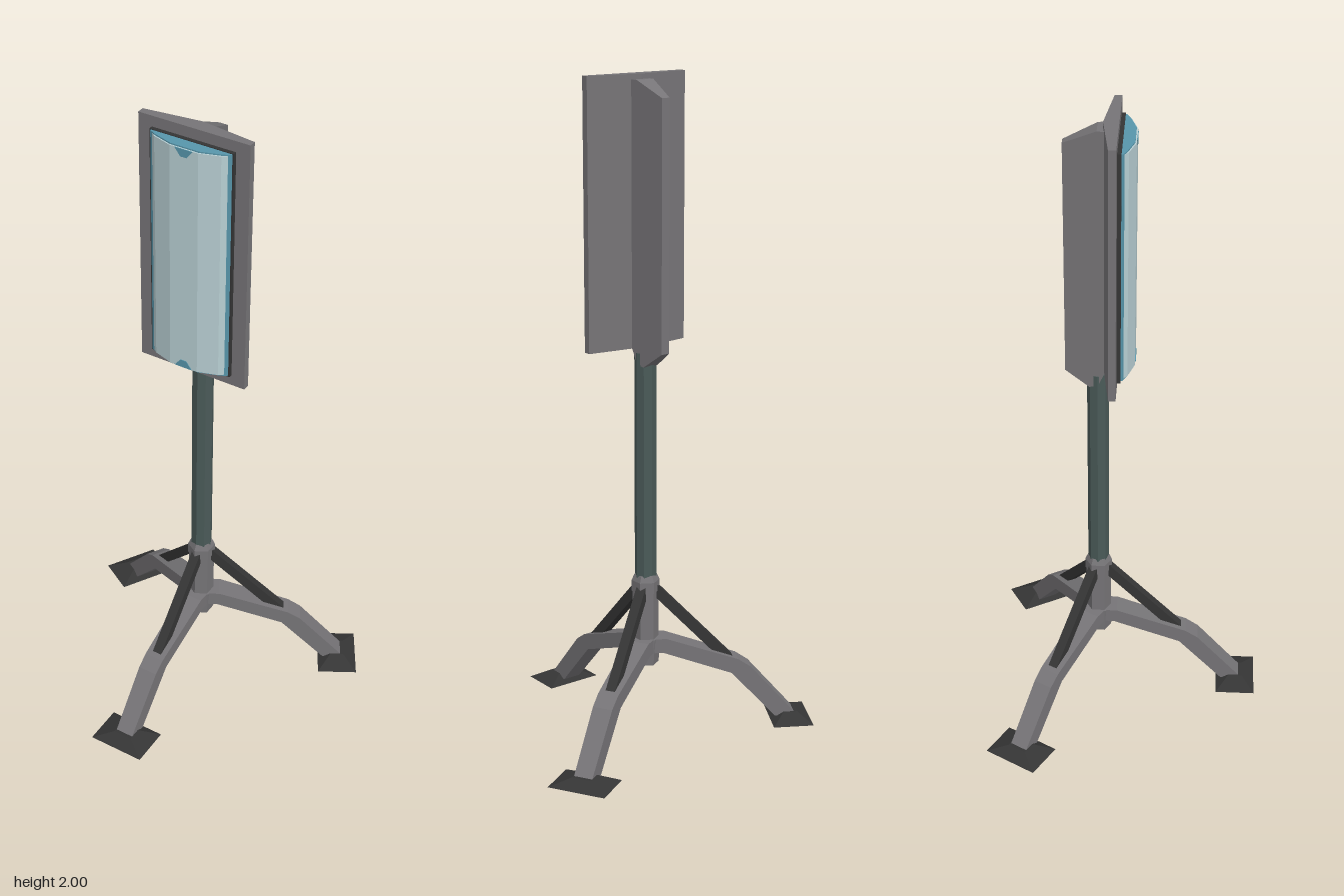
import * as THREE from 'three';

const mat = (name, color) => {
  const m = new THREE.MeshStandardMaterial({ color, flatShading: true });
  m.name = name;
  return m;
};

export function createModel() {
  const grey = mat('greyMetal', 0x767477);
  const dark = mat('darkMetal', 0x353535);
  const green = mat('poleGreen', 0x4a5a58);
  const pale = mat('paleGlass', 0xb9d0d4);
  const teal = mat('tealGlass', 0x5796ab);

  const add = (parent, name, geo, material) => {
    const m = new THREE.Mesh(geo, material);
    m.name = name;
    parent.add(m);
    return m;
  };
  const shape = (pts) => new THREE.Shape(pts.map(([a, b]) => new THREE.Vector2(a, b)));
  // Plan outline (x, z) raised from y0 to y1
  const prism = (pts, y0, y1) =>
    new THREE.ExtrudeGeometry(shape(pts), { depth: y1 - y0, bevelEnabled: false })
      .rotateX(Math.PI / 2).translate(0, y1, 0);
  // Side outline (z, y) given a width in x that depends on z
  const profile = (pts, widthAt) => {
    const g = new THREE.ExtrudeGeometry(shape(pts), { depth: 1, bevelEnabled: false })
      .rotateY(-Math.PI / 2).translate(0.5, 0, 0);
    const p = g.attributes.position;
    for (let i = 0; i < p.count; i++) p.setX(i, p.getX(i) * widthAt(p.getZ(i)));
    g.computeVertexNormals();
    return g;
  };
  const column = (rTop, rBottom, y0, y1, sides) =>
    new THREE.CylinderGeometry(rTop, rBottom, y1 - y0, sides).translate(0, (y0 + y1) / 2, 0);

  const model = new THREE.Group();
  model.name = 'tripodLight';
  const stand = new THREE.Group();
  stand.name = 'stand';
  stand.position.set(0.042, 0, -0.045);
  stand.rotation.y = Math.PI / 12;
  model.add(stand);

  // Centre column
  add(stand, 'pole', column(0.033, 0.033, 0.47, 1.19, 8), green);
  add(stand, 'collarTop', column(0.034, 0.043, 0.475, 0.495, 6), grey);
  add(stand, 'collar', column(0.043, 0.043, 0.44, 0.475, 6), grey);
  add(stand, 'hubColumn', column(0.04, 0.04, 0.25, 0.44, 6), grey);
  add(stand, 'hubBase', column(0.047, 0.04, 0.205, 0.29, 6), grey);

  // Three legs, each with a brace and a foot
  const legOutline = [
    [0.01, 0.245], [0.05, 0.245], [0.265, 0.165], [0.405, 0.012], [0.475, 0.012],
    [0.325, 0.183], [0.285, 0.21], [0.06, 0.29], [0.01, 0.29],
  ];
  for (let i = 0; i < 3; i++) {
    const leg = new THREE.Group();
    leg.name = 'leg' + (i + 1);
    leg.rotation.y = (i * Math.PI * 2) / 3;
    stand.add(leg);
    add(leg, 'legArm', profile(legOutline, (z) => 0.072 - 0.03 * z), grey);
    add(leg, 'brace', profile(
      [[0.02, 0.43], [0.245, 0.195], [0.275, 0.21], [0.035, 0.46], [0.02, 0.46]], () => 0.03), dark);
    const foot = new THREE.CylinderGeometry(0.35 * Math.SQRT1_2, Math.SQRT1_2, 0.024, 4)
      .rotateY(Math.PI / 4).scale(0.18, 1, 0.125);
    add(leg, 'foot', foot, dark).position.set(0, 0.012, 0.453);
  }

  // Lamp head: backing panel, rear spine, tray and faceted lens
  const head = new THREE.Group();
  head.name = 'lampHead';
  stand.add(head);
  add(head, 'backPanel', prism(
    [[-0.175, 0.061], [0.175, 0.061], [0.175, 0.039], [0, 0.016], [-0.175, 0.039]], 1.2, 2), grey);
  add(head, 'spine', profile(
    [[0.035, 1.205], [0.02, 1.2], [0, 1.155], [-0.025, 1.15], [-0.097, 1.2],
      [-0.097, 1.94], [0, 1.985], [0.035, 1.985]],
    (z) => 0.027 + (z + 0.097) * 0.34), grey);
  add(head, 'lensTray', prism(
    [[-0.132, 0.055], [0.132, 0.055], [0.132, 0.073], [-0.132, 0.073]], 1.235, 1.967), dark);
  const lens = (grow) => {
    const half = [[0.128 - 2 * grow, 0.07], [0.127 - 2 * grow, 0.077 + grow],
      [0.105, 0.088 + grow], [0.045, 0.107 + grow]];
    return [...half, ...half.map(([x, z]) => [-x, z]).reverse()];
  };
  add(head, 'lensBody', prism(lens(0), 1.24, 1.965), teal);
  add(head, 'lensGlass', prism(lens(0.004), 1.244, 1.961), pale);

  // Small clips at the top and bottom of the lens
  for (const s of [-1, 1]) {
    const y = 1.6025 + s * 0.3585;
    const pts = [[-0.028, y], [0.028, y], [0.01, y - s * 0.024], [-0.01, y - s * 0.024]];
    add(head, s > 0 ? 'topClip' : 'bottomClip',
      new THREE.ExtrudeGeometry(shape(pts), { depth: 0.003, bevelEnabled: false })
        .translate(0, 0, 0.11), teal);
  }
  return model;
}
